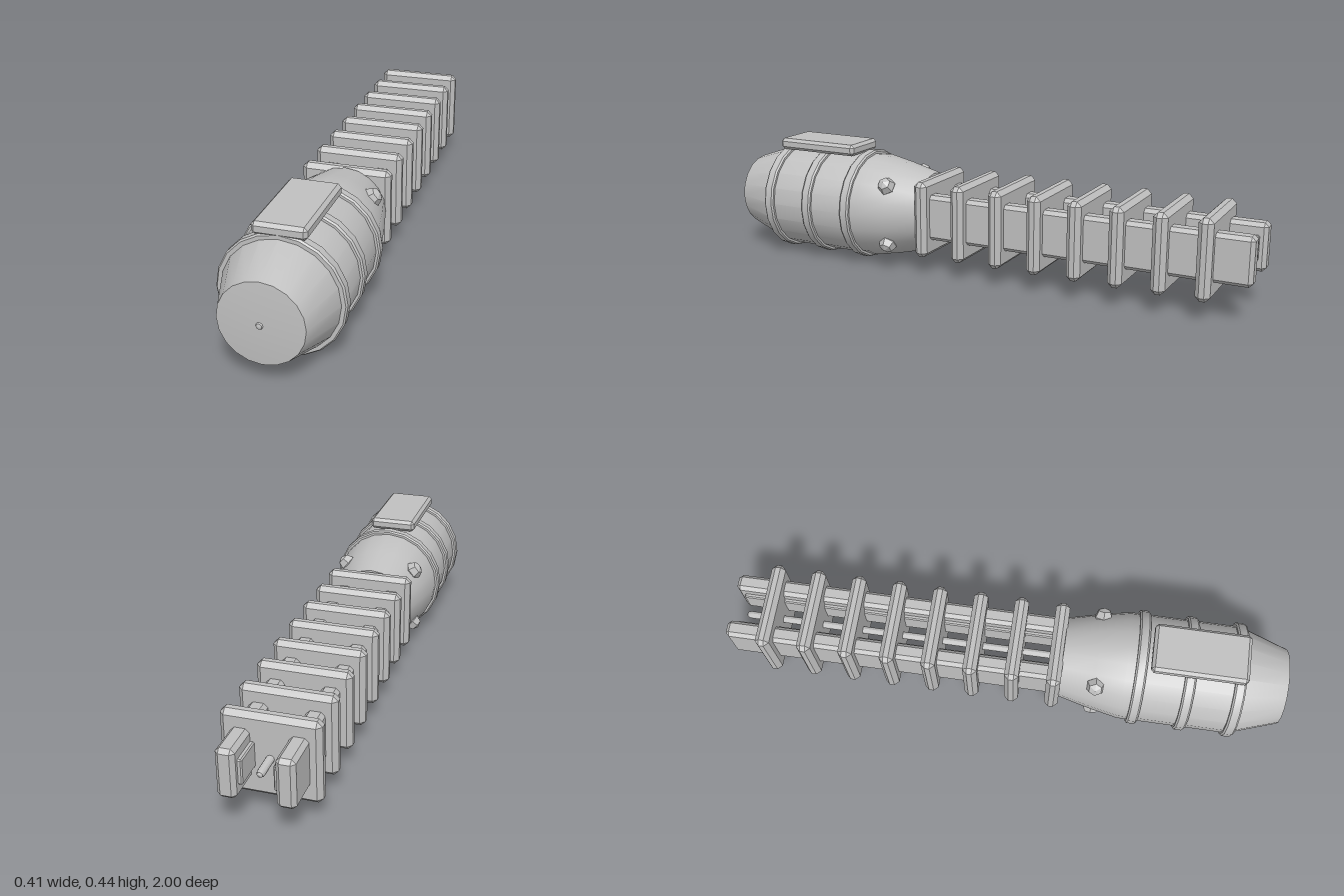
import * as THREE from 'three';
import { toCreasedNormals } from 'three/addons/utils/BufferGeometryUtils.js';
import { ConvexGeometry } from 'three/addons/geometries/ConvexGeometry.js';

const AXIS = 0.205; // height of the long axis

// Box with every edge chamfered by c
function chamferBox(w, h, d, c) {
  const pts = [];
  for (const x of [-1, 1]) for (const y of [-1, 1]) for (const z of [-1, 1]) {
    for (let k = 0; k < 3; k++) {
      pts.push(new THREE.Vector3(
        x * (w / 2 - (k === 0 ? 0 : c)),
        y * (h / 2 - (k === 1 ? 0 : c)),
        z * (d / 2 - (k === 2 ? 0 : c))));
    }
  }
  return new ConvexGeometry(pts);
}

// Turned solid along z from [radius, z] pairs listed back to front
function turned(profile, sides = 20) {
  const g = new THREE.LatheGeometry(profile.map(([r, z]) => new THREE.Vector2(r, z)), sides);
  g.rotateX(Math.PI / 2);
  return toCreasedNormals(g, 0.42);
}

export function createModel() {
  const group = new THREE.Group();
  const grey = new THREE.MeshStandardMaterial({ color: 0xc0c0c0 });
  grey.name = 'grey';

  function add(name, geometry, x, y, z) {
    const mesh = new THREE.Mesh(geometry, grey);
    mesh.name = name;
    mesh.position.set(x, y, z);
    group.add(mesh);
    return mesh;
  }

  // Barrel-shaped head
  add('body', turned([
    [0, 0.195], [0.143, 0.2], [0.172, 0.32], [0.192, 0.42],
    [0.192, 0.815], [0.135, 0.983], [0, 0.994],
  ]), 0, AXIS, 0);

  // Raised bands around the head
  for (const z of [0.47, 0.64, 0.81]) {
    add('band', turned([
      [0.185, -0.019], [0.2, -0.019], [0.205, -0.013],
      [0.205, 0.013], [0.2, 0.019], [0.185, 0.019],
    ]), 0, AXIS, z);
  }

  // Plate on top of the head
  add('topPlate', chamferBox(0.173, 0.042, 0.33, 0.011), 0, 0.416, 0.665);

  // Four studs on the rear taper
  const studGeometry = toCreasedNormals(new THREE.SphereGeometry(0.034, 6, 4), 0.1);
  for (const sx of [-1, 1]) for (const sy of [-1, 1]) {
    const stud = add('stud', studGeometry, sx * 0.13, AXIS + sy * 0.107, 0.325);
    stud.rotation.z = Math.atan2(sy * 0.107, sx * 0.13) - Math.PI / 2;
  }

  // Cross plates along the tail
  const plateGeometry = chamferBox(0.312, 0.276, 0.05, 0.016);
  for (let i = 0; i < 8; i++) {
    add('crossPlate', plateGeometry, 0, 0.208, 0.178 - i * 0.147);
  }

  // Two side rails with inner strips
  const railGeometry = chamferBox(0.06, 0.165, 1.2, 0.013);
  const stripGeometry = chamferBox(0.02, 0.085, 1.17, 0.004);
  for (const s of [-1, 1]) {
    add('sideRail', railGeometry, s * 0.09, 0.212, -0.4);
    add('innerStrip', stripGeometry, s * 0.057, 0.212, -0.39);
  }

  // Central rod, showing at both ends
  add('centreRod', turned([
    [0, -0.965], [0.009, -0.96], [0.013, -0.95],
    [0.013, 0.99], [0.009, 0.997], [0, 1],
  ], 12), 0, AXIS, 0);

  return group;
}
